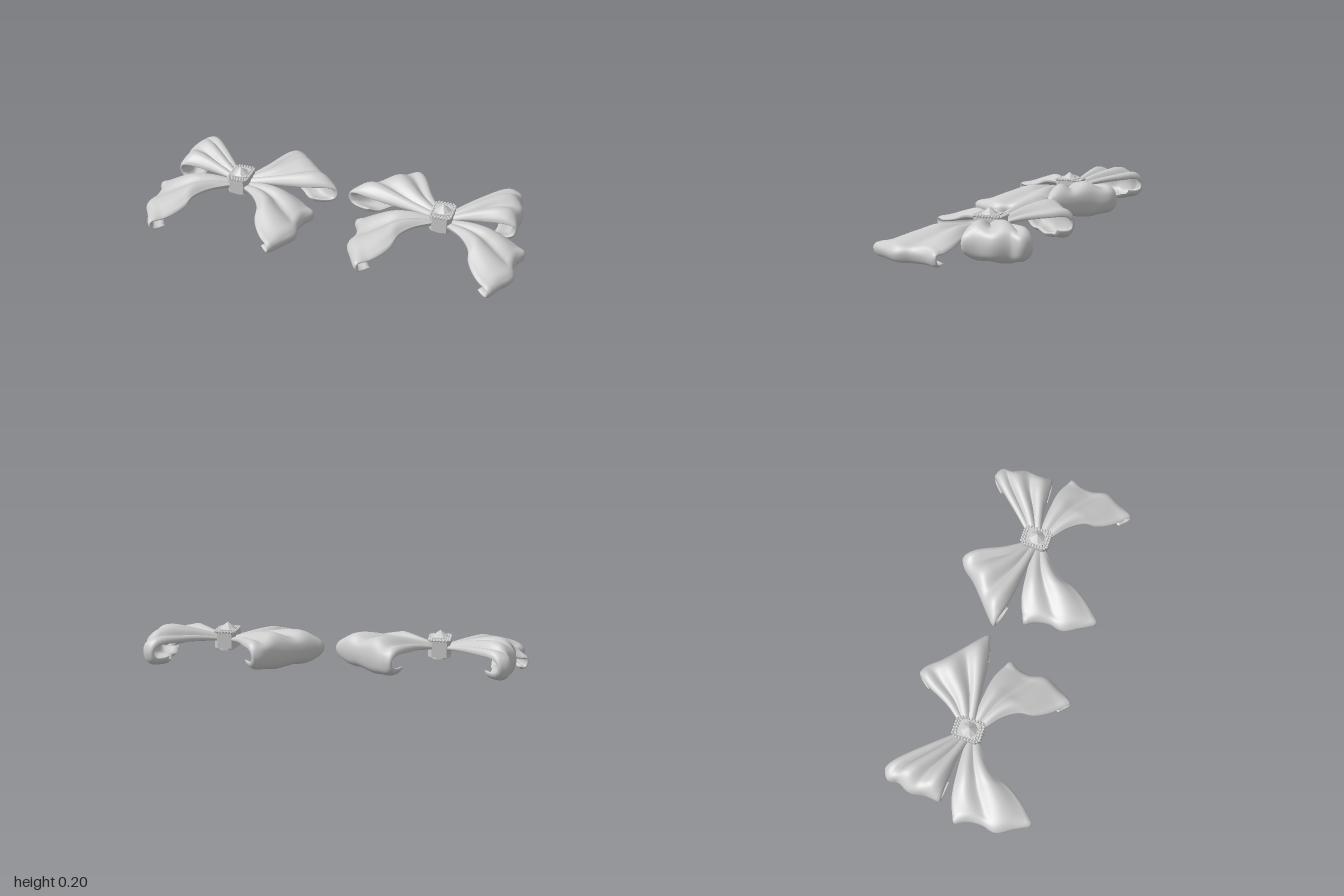
import * as THREE from 'three';

const CX = 0.545, CZ = -0.055;
const material = new THREE.MeshStandardMaterial({ color: 0xcccccc });
const gemMaterial = new THREE.MeshStandardMaterial({ color: 0xcccccc, flatShading: true });

const planCurve = pts => new THREE.CatmullRomCurve3(pts.map(([x, z]) => new THREE.Vector3(x, 0, z)));

// Reverse the winding of an indexed geometry
function flip(geo) {
  const a = geo.index.array;
  for (let i = 0; i < a.length; i += 3) [a[i], a[i + 1]] = [a[i + 1], a[i]];
  return geo;
}

// Thick cloth: rings run round the sheet (v across, u along), rounded at the borders
function clothGeometry(point, half, nu = 72, nv = 88) {
  const pos = [], idx = [], e = 0.004;
  for (let i = 0; i <= nu; i++) {
    const u = i / nu, tip = Math.sqrt(Math.min(1, (1 - u) / 0.04));
    const u0 = Math.max(0, u - e), u1 = Math.min(1, u + e);
    for (let j = 0; j < nv; j++) {
      const a = (j / nv) * Math.PI * 2, v = (1 - Math.cos(a)) / 2;
      const du = point(u1, v).sub(point(u0, v));
      const dv = point(u, Math.min(1, v + e)).sub(point(u, Math.max(0, v - e)));
      const n = dv.cross(du).normalize();
      const off = half * tip * Math.max(-1, Math.min(1, Math.sin(a) * 2.5));
      const p = point(u, v).addScaledVector(n, off);
      pos.push(p.x, p.y, p.z);
    }
  }
  for (let i = 0; i < nu; i++) for (let j = 0; j < nv; j++) {
    const k = (j + 1) % nv, a = i * nv + j, b = i * nv + k, c = a + nv, d = b + nv;
    idx.push(a, c, b, b, c, d);
  }
  const geo = new THREE.BufferGeometry();
  geo.setAttribute('position', new THREE.Float32BufferAttribute(pos, 3));
  geo.setIndex(idx);
  // Signed volume tells whether the shell is inside out
  let vol = 0;
  const P = k => new THREE.Vector3(pos[k * 3] - CX, pos[k * 3 + 1], pos[k * 3 + 2]);
  for (let i = 0; i < idx.length; i += 3) vol += P(idx[i]).dot(P(idx[i + 1]).cross(P(idx[i + 2])));
  if (vol < 0) flip(geo);
  geo.computeVertexNormals();
  return geo;
}

// Plan patch between two side edges and an end edge; profile gives (share of length, height)
function ribbon({ back, front, end, profile, shape, half }) {
  const A = planCurve(back), B = planCurve(front), E = planCurve(end);
  const prof = new THREE.CatmullRomCurve3(profile.map(([s, y]) => new THREE.Vector3(s, y, 0)), false, 'centripetal');
  const E0 = E.getPoint(0), E1 = E.getPoint(1);
  return clothGeometry((u, v) => {
    const q = prof.getPoint(u), s = Math.max(0, Math.min(1, q.x));
    const p = A.getPoint(s).lerp(B.getPoint(s), v);
    const bulge = E.getPoint(v).sub(E0.clone().lerp(E1, v));
    p.addScaledVector(bulge, s * s);
    p.y = shape(q.y, s, v, u);
    return p;
  }, half);
}

// Loops: puffed scallops that roll over and under at the outer end
const loopProfile = [[0, 0.125], [0.25, 0.148], [0.5, 0.167], [0.75, 0.18], [0.9, 0.172], [0.98, 0.145],
  [1, 0.11], [0.98, 0.07], [0.92, 0.046], [0.82, 0.04], [0.68, 0.048]];
const loopShape = (y, s, v, u) => {
  const w = 2 * v - 1, k = 1 - (w < 0 ? 0.6 : 0.4) * w ** 4;
  const c = Math.cos(Math.PI * 2 * (2.5 * v - 0.12));
  const pleat = u < 0.5 ? 0.011 * Math.sin(Math.PI * u * 2) * c : 0;
  return 0.11 + (y - 0.11) * k * (1 + 0.07 * c) + pleat;
};

// Tails: ridged cloth falling outward, with a hem turned under
const tailProfile = [[0, 0.115], [0.22, 0.132], [0.45, 0.132], [0.7, 0.108], [0.88, 0.085], [0.97, 0.07],
  [1, 0.048], [0.985, 0.024], [0.94, 0.016], [0.87, 0.022]];
const tailShape = (y, s, v, u) => {
  const fade = u < 0.6 ? Math.sin(Math.PI * u / 0.6) : 0;
  const droop = 0.018 * (2 * v - 1) ** 4;
  return y + fade * (0.012 * Math.cos(Math.PI * 2 * (2 * v - 0.45)) - droop);
};

function octagon(hx, hz, c) {
  return new THREE.Shape([[-hx + c, -hz], [hx - c, -hz], [hx, -hz + c], [hx, hz - c],
    [hx - c, hz], [-hx + c, hz], [-hx, hz - c], [-hx, -hz + c]].map(p => new THREE.Vector2(...p)));
}
function slab(hx, hz, c, y0, y1) {
  return new THREE.ExtrudeGeometry(octagon(hx, hz, c), { depth: y1 - y0, bevelEnabled: false })
    .rotateX(-Math.PI / 2).translate(CX, y0, CZ);
}

function bowParts() {
  const parts = [
    ['innerLoop', ribbon({
      back: [[0.52, -0.1], [0.45, -0.2], [0.39, -0.32], [0.34, -0.385]],
      front: [[0.52, -0.045], [0.32, -0.062], [0.16, -0.08], [0.03, -0.115]],
      end: [[0.34, -0.385], [0.295, -0.36], [0.24, -0.295], [0.16, -0.225], [0.1, -0.175], [0.03, -0.115]],
      profile: loopProfile, shape: loopShape, half: 0.011
    }), material],
    ['outerLoop', ribbon({
      back: [[0.57, -0.1], [0.66, -0.2], [0.77, -0.32], [0.835, -0.38]],
      front: [[0.57, -0.045], [0.7, -0.065], [0.8, -0.07], [0.91, -0.075]],
      end: [[0.835, -0.38], [0.885, -0.35], [0.88, -0.3], [0.91, -0.23], [0.9, -0.15], [0.91, -0.075]],
      profile: loopProfile, shape: loopShape, half: 0.011
    }), material],
    ['innerTail', ribbon({
      back: [[0.52, -0.05], [0.35, -0.045], [0.22, -0.03], [0.115, 0.015]],
      front: [[0.52, 0], [0.43, 0.07], [0.375, 0.15], [0.36, 0.22], [0.31, 0.3], [0.23, 0.38]],
      end: [[0.115, 0.015], [0.15, 0.08], [0.16, 0.15], [0.145, 0.22], [0.185, 0.3], [0.23, 0.38]],
      profile: tailProfile, shape: tailShape, half: 0.011
    }), material],
    ['outerTail', ribbon({
      back: [[0.57, -0.05], [0.74, -0.045], [0.88, -0.03], [0.98, 0.01]],
      front: [[0.57, 0], [0.67, 0.08], [0.725, 0.16], [0.74, 0.22], [0.79, 0.3], [0.87, 0.38]],
      end: [[0.98, 0.01], [0.945, 0.08], [0.94, 0.15], [0.955, 0.22], [0.91, 0.3], [0.87, 0.38]],
      profile: tailProfile, shape: tailShape, half: 0.011
    }), material],
    ['knot', slab(0.055, 0.07, 0.018, 0.082, 0.162), gemMaterial],
    ['knotBase', slab(0.036, 0.055, 0.02, 0.068, 0.084), gemMaterial],
    ['gemSetting', slab(0.043, 0.048, 0.012, 0.16, 0.174), gemMaterial],
    ['gem', new THREE.ConeGeometry(0.044, 0.033, 8).rotateY(Math.PI / 8).translate(CX, 0.189, CZ + 0.005), gemMaterial]
  ];
  // Two rows of studs around the setting
  for (const [hx, hz, n] of [[0.051, 0.07, 30], [0.041, 0.058, 24]]) {
    octagon(hx, hz, 0.014).closePath().getSpacedPoints(n).slice(0, n).forEach(p => parts.push(['stud',
      new THREE.OctahedronGeometry(0.0075, 1).translate(CX + p.x, 0.167, CZ + p.y), gemMaterial]));
  }
  return parts;
}

// Mirror geometry across x = 0, keeping faces outward
function mirrored(geo) {
  const g = geo.clone();
  if (!g.index) g.setIndex([...Array(g.attributes.position.count).keys()]);
  g.scale(-1, 1, 1);
  flip(g);
  const n = g.attributes.normal;
  g.deleteAttribute('normal');
  g.setAttribute('normal', n);
  g.computeVertexNormals();
  return g;
}

export function createModel() {
  const model = new THREE.Group();
  const left = new THREE.Group(), right = new THREE.Group();
  left.name = 'leftBow';
  right.name = 'rightBow';
  for (const [name, geo, mat] of bowParts()) {
    for (const [group, g] of [[left, geo], [right, mirrored(geo)]]) {
      const mesh = new THREE.Mesh(g, mat);
      mesh.name = name;
      group.add(mesh);
    }
  }
  model.add(left, right);
  return model;
}
